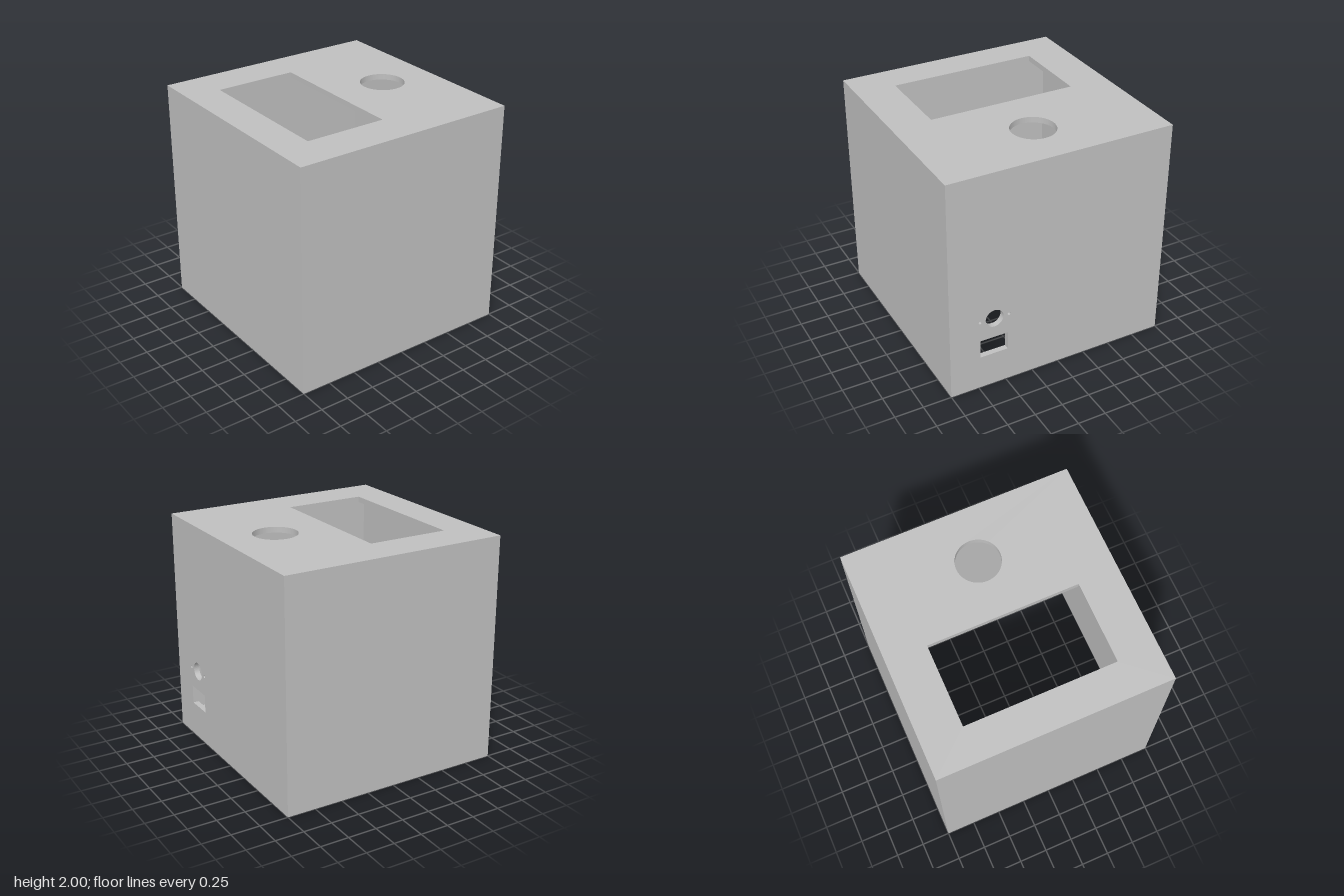
import * as THREE from 'three';

const T = 0.05; // wall thickness

// Rectangle outline from opposite corners
function rect(Type, x0, y0, x1, y1) {
  const s = new Type();
  s.moveTo(x0, y0);
  s.lineTo(x1, y0);
  s.lineTo(x1, y1);
  s.lineTo(x0, y1);
  s.closePath();
  return s;
}

function circle(x, y, r) {
  return new THREE.Path().absarc(x, y, r, 0, Math.PI * 2, true);
}

// Flat plate with cut-outs, extruded along +z
function plate(outline, holes, depth) {
  outline.holes.push(...holes);
  return new THREE.ExtrudeGeometry(outline, { depth, bevelEnabled: false, curveSegments: 40 });
}

export function createModel() {
  const group = new THREE.Group();
  const grey = new THREE.MeshStandardMaterial({ color: 0xbfbfbf });
  grey.name = 'plainGrey';

  const add = (name, geometry, x = 0, y = 0, z = 0) => {
    const mesh = new THREE.Mesh(geometry, grey);
    mesh.name = name;
    mesh.position.set(x, y, z);
    group.add(mesh);
    return mesh;
  };

  // Top panel: display window and round button hole (shape y becomes -z)
  const top = plate(
    rect(THREE.Shape, -1, -1, 1, 1),
    [rect(THREE.Path, -0.65, -0.695, 0.65, 0.02), circle(0, 0.525, 0.19)],
    T
  );
  top.rotateX(-Math.PI / 2);
  add('topPanel', top, 0, 2 - T, 0);

  // Back wall: round jack hole, two screw holes and a rectangular port
  const back = plate(
    rect(THREE.Shape, -1, 0, 1, 2 - T),
    [
      circle(0.6, 0.66, 0.08),
      circle(0.73, 0.66, 0.013),
      circle(0.47, 0.66, 0.013),
      rect(THREE.Path, 0.48, 0.31, 0.73, 0.475)
    ],
    T
  );
  add('backWall', back, 0, 0, -1);

  // Plain front and side walls; the underside stays open
  const h = 2 - T;
  add('frontWall', new THREE.BoxGeometry(2, h, T), 0, h / 2, 1 - T / 2);
  for (const [side, name] of [[1, 'leftWall'], [-1, 'rightWall']]) {
    add(name, new THREE.BoxGeometry(T, h, 2 - 2 * T), side * (1 - T / 2), h / 2, 0);
  }

  // Corner screw blocks, set up from the bottom rim
  const size = 0.195, height = 0.1, inset = 1 - T - size / 2;
  const block = plate(
    rect(THREE.Shape, -size / 2, -size / 2, size / 2, size / 2),
    [circle(0, 0, 0.055)],
    height
  );
  block.rotateX(-Math.PI / 2);
  for (const sx of [-1, 1]) {
    for (const sz of [-1, 1]) {
      add('cornerScrewBlock', block, sx * inset, 0.05, sz * inset);
    }
  }

  return group;
}
